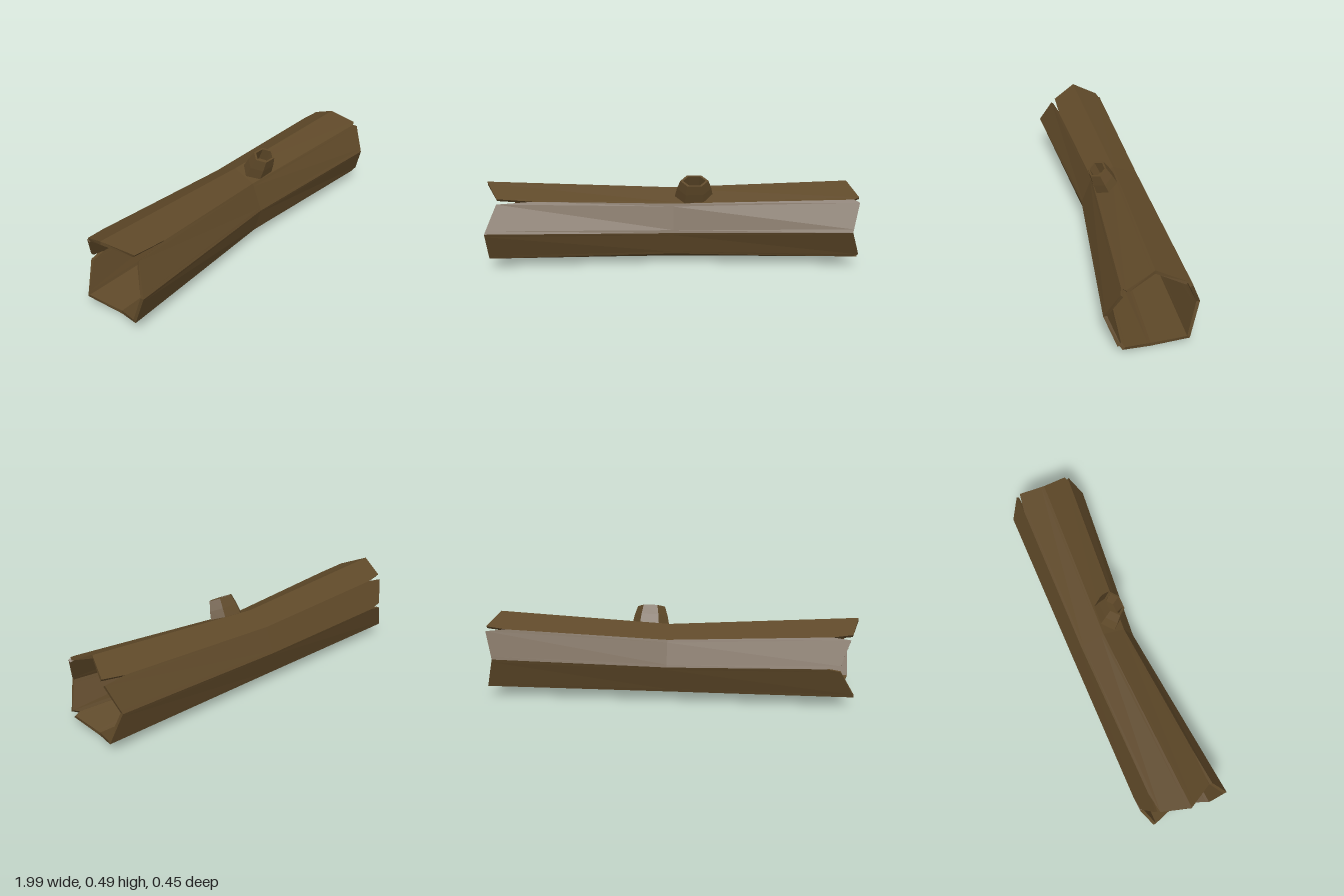
import * as THREE from 'three';

// Octagonal cross-sections as [z, y], running from the top over the front
const END = [[-0.005, 0.448], [0.148, 0.388], [0.225, 0.23], [0.16, 0.068],
  [0, 0.003], [-0.17, 0.062], [-0.223, 0.23], [-0.16, 0.385]];
const MID = [[-0.04, 0.402], [0.08, 0.347], [0.137, 0.2], [0.095, 0.065],
  [-0.015, 0.008], [-0.168, 0.062], [-0.223, 0.213], [-0.17, 0.348]];

// Jagged end position at each corner, and how far in the cracks reach
const LEFT_X = [0.94, 0.985, 0.94, 0.998, 0.94, 0.985, 0.935, 0.985];
const RIGHT_X = [-1, -0.92, -0.985, -0.985, -0.92, -0.975, -0.885, -0.95];
const LEFT_CRACK = { 1: 0.95, 3: 0.96, 7: 0.87 };
const RIGHT_CRACK = { 1: -0.74, 6: -0.82, 7: -0.85 };
const COLUMNS = [0, 0.1, 0.9, 1];
const WALL = 0.92;

const lerp = THREE.MathUtils.lerp;

// Point on the outer (k = 1) or inner (k = WALL) shell of panel i
function shellPoint(i, t, x, k) {
  const j = (i + 1) % 8;
  const f = Math.abs(x) / 0.97;
  const at = (n, axis) => lerp(MID[n][axis], END[n][axis], f);
  const centre = (axis) => {
    let sum = 0;
    for (let n = 0; n < 8; n++) sum += at(n, axis) / 8;
    return sum;
  };
  const place = (axis) => {
    const c = centre(axis);
    return c + (lerp(at(i, axis), at(j, axis), t) - c) * k;
  };
  return [x, place(1), place(0)];
}

// End position along a panel, dipping to the crack depth at a split corner
function endX(ends, cracks, i, t) {
  const j = (i + 1) % 8;
  if (t === 0 && cracks[i] !== undefined) return cracks[i];
  if (t === 1 && cracks[j] !== undefined) return cracks[j];
  return lerp(ends[i], ends[j], t);
}

function barkGeometry() {
  const pos = [];
  const quad = (a, b, c, d) => pos.push(...a, ...b, ...c, ...a, ...c, ...d);
  for (let i = 0; i < 8; i++) {
    for (let s = 0; s < COLUMNS.length - 1; s++) {
      const t0 = COLUMNS[s], t1 = COLUMNS[s + 1];
      const xs = [t0, t1].map((t) => [endX(RIGHT_X, RIGHT_CRACK, i, t), 0, endX(LEFT_X, LEFT_CRACK, i, t)]);
      const corner = (side, row, k) => shellPoint(i, side ? t1 : t0, xs[side][row], k);
      for (let r = 0; r < 2; r++) {
        quad(corner(0, r, 1), corner(1, r, 1), corner(1, r + 1, 1), corner(0, r + 1, 1));
        quad(corner(0, r, WALL), corner(0, r + 1, WALL), corner(1, r + 1, WALL), corner(1, r, WALL));
      }
      // Rims closing the wall at both ends
      quad(corner(0, 2, 1), corner(1, 2, 1), corner(1, 2, WALL), corner(0, 2, WALL));
      quad(corner(0, 0, 1), corner(0, 0, WALL), corner(1, 0, WALL), corner(1, 0, 1));
    }
  }
  const geo = new THREE.BufferGeometry();
  geo.setAttribute('position', new THREE.Float32BufferAttribute(pos, 3));
  geo.computeVertexNormals();
  return geo;
}

// Hollow six-sided branch stump
function stubGeometry() {
  const profile = [[0.105, -0.01], [0.092, 0.055], [0.075, 0.108], [0.06, 0.108], [0.052, 0.045], [0, 0.045]]
    .map(([r, y]) => new THREE.Vector2(r, y));
  const geo = new THREE.LatheGeometry(profile, 6, Math.PI / 2).toNonIndexed();
  geo.scale(1, 1, 0.69);
  geo.computeVertexNormals();
  return geo;
}

export function createModel() {
  const bark = new THREE.MeshStandardMaterial({ color: 0x5e4828 });
  bark.name = 'bark brown';
  const model = new THREE.Group();
  model.name = 'hollowLog';

  const log = new THREE.Mesh(barkGeometry(), bark);
  log.name = 'logShell';
  model.add(log);

  const stub = new THREE.Mesh(stubGeometry(), bark);
  stub.name = 'branchStub';
  stub.position.set(0.112, 0.373, 0.027);
  stub.rotation.x = 0.43;
  model.add(stub);
  return model;
}
